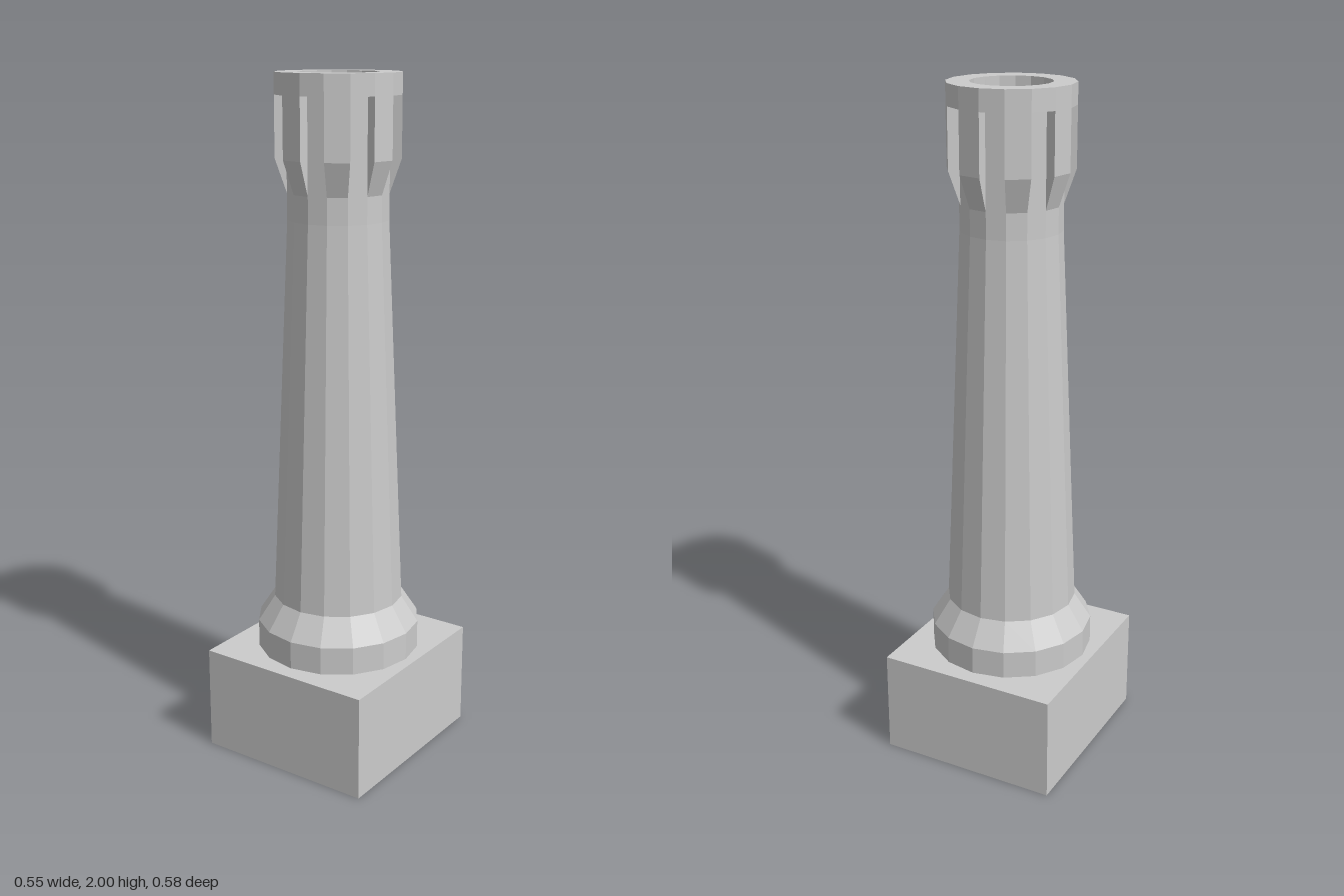
import * as THREE from 'three';
import { ConvexGeometry } from 'three/addons/geometries/ConvexGeometry.js';

const SIDES = 16;
const STEP = (Math.PI * 2) / SIDES;

export function createModel() {
  const model = new THREE.Group();
  model.name = 'tower';
  const material = new THREE.MeshStandardMaterial({ color: 0xcccccc, flatShading: true });

  const add = (name, geometry, parent = model) => {
    const mesh = new THREE.Mesh(geometry, material);
    mesh.name = name;
    parent.add(mesh);
    return mesh;
  };
  const lathe = (profile) =>
    new THREE.LatheGeometry(profile.map(([r, y]) => new THREE.Vector2(r, y)), SIDES);

  // Rectangular plinth
  add('plinth', new THREE.BoxGeometry(0.546, 0.312, 0.582)).position.y = 0.156;

  // Collar with a sloped shoulder at the foot of the shaft
  add('collar', lathe([[0.244, 0.312], [0.244, 0.395], [0.194, 0.472]]));

  // Tapering shaft, ending in a straight neck
  add('shaft', lathe([[0.194, 0.472], [0.145, 1.6], [0.145, 1.94]]));

  // Overhanging rim and the hollow inside it
  add('rim', lathe([
    [0.145, 1.94], [0.178, 1.94], [0.178, 2], [0.114, 2], [0.114, 1.68], [0, 1.68],
  ]));

  // Brackets under the rim, on every other side
  const brackets = new THREE.Group();
  brackets.name = 'brackets';
  model.add(brackets);
  const section = [[0.145, 1.675], [0.178, 1.77], [0.178, 1.94], [0.145, 1.94]];
  const corners = [0, STEP].flatMap((a) =>
    section.map(([r, y]) => new THREE.Vector3(r * Math.sin(a), y, r * Math.cos(a))));
  const bracketGeometry = new ConvexGeometry(corners);
  for (let i = 1; i < SIDES; i += 2) {
    add('bracket', bracketGeometry, brackets).rotation.y = i * STEP;
  }

  return model;
}
